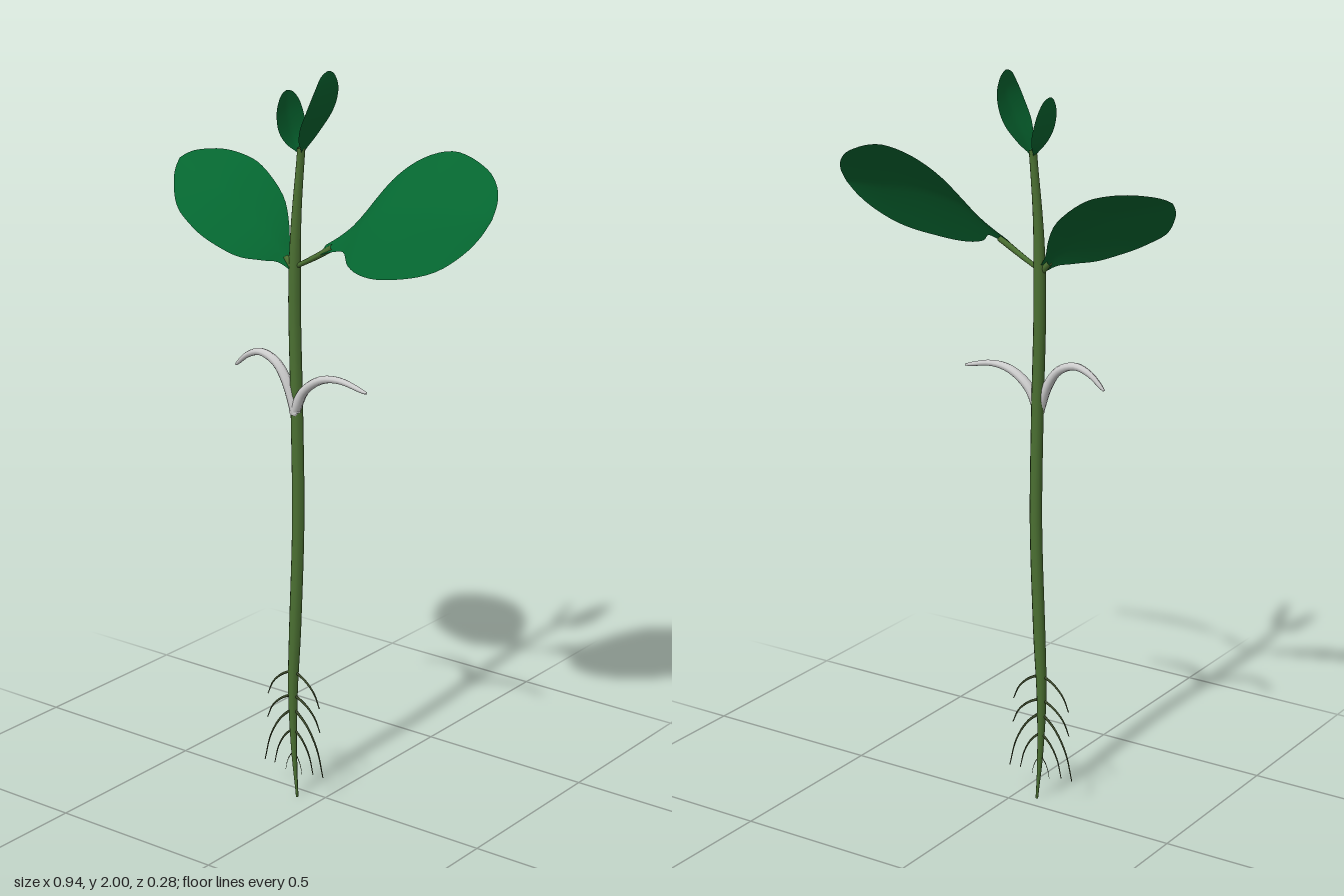
import * as THREE from 'three';

const mat = (color) => new THREE.MeshStandardMaterial({ color, side: THREE.DoubleSide });
const vec = (p) => new THREE.Vector3(...p);
const path = (points) => new THREE.CatmullRomCurve3(points.map(vec));

// Indexed grid surface: at(u, v) gives the position for u, v in 0..1
function gridSurface(nu, nv, at) {
  const pos = [], idx = [];
  for (let i = 0; i <= nu; i++) {
    for (let j = 0; j <= nv; j++) pos.push(...at(i / nu, j / nv).toArray());
  }
  for (let i = 0; i < nu; i++) {
    for (let j = 0; j < nv; j++) {
      const a = i * (nv + 1) + j, b = a + nv + 1;
      idx.push(a, a + 1, b, b, a + 1, b + 1);
    }
  }
  const g = new THREE.BufferGeometry();
  g.setAttribute('position', new THREE.Float32BufferAttribute(pos, 3));
  g.setIndex(idx);
  g.computeVertexNormals();
  return g;
}

// Tapered rod along a curve in the x-y plane; depth scales the section in z
function taperedRod(points, radius, steps, sides, depth = 1) {
  const curve = path(points);
  return gridSurface(steps, sides, (u, v) => {
    const t = curve.getTangent(u);
    const side = new THREE.Vector3(t.y, -t.x, 0).normalize();
    const a = -v * Math.PI * 2, r = radius(u);
    return curve.getPoint(u)
      .addScaledVector(side, Math.cos(a) * r)
      .add(new THREE.Vector3(0, 0, Math.sin(a) * r * depth));
  });
}

// Leaf blade: half-width outline swept on the midrib, halves cupped upward
function leafBlade(midrib, half, outline, cup) {
  const curve = path(midrib), side = vec(half);
  const profile = new THREE.SplineCurve(outline.map(([u, w]) => new THREE.Vector2(u, w)));
  return gridSurface(36, 12, (s, v) => {
    const { x, y } = profile.getPoint(s);
    const u = THREE.MathUtils.clamp(x, 0, 1), w = Math.max(y, 0), k = v * 2 - 1;
    const normal = side.clone().cross(curve.getTangentAt(u)).normalize();
    const lift = cup * w * (Math.pow(Math.abs(k), 1.3) - 0.5);
    return curve.getPointAt(u).addScaledVector(side, w * k).addScaledVector(normal, lift);
  });
}

export function createModel() {
  const group = new THREE.Group();
  const green = mat(0x4b7032), leafGreen = mat(0x056630), rootGreen = mat(0x3c4a2a), grey = mat(0xcccccc);
  const add = (name, geometry, material) => {
    const m = new THREE.Mesh(geometry, material);
    m.name = name;
    group.add(m);
  };
  const Z = 0.037;

  // Main stem, pointed at the root end
  const stemRadius = (u) =>
    0.003 + 0.013 * THREE.MathUtils.smoothstep(u, -0.05, 0.4) - 0.006 * THREE.MathUtils.smoothstep(u, 0.75, 1);
  add('stem', taperedRod([
    [-0.065, 0, 0.042], [-0.075, 0.12, 0.041], [-0.08, 0.3, 0.04], [-0.072, 0.5, 0.039], [-0.062, 0.8, Z],
    [-0.065, 1.1, Z], [-0.072, 1.4, 0.036], [-0.068, 1.6, 0.034], [-0.053, 1.8, 0.03],
  ], stemRadius, 40, 12, 1.1), green);

  // Leaf stalks
  add('leftStalk', taperedRod([[-0.07, 1.49, Z], [-0.01, 1.522, Z], [0.05, 1.558, 0.034]], (u) => 0.006 + 0.003 * u, 8, 8), green);
  add('rightStalk', taperedRod([[-0.07, 1.48, Z], [-0.085, 1.497, Z], [-0.1, 1.512, Z]], (u) => 0.012 - 0.004 * u, 8, 8), green);

  // Large leaves: narrow neck opening into a rounded blade
  const round = [[0, 0.08], [0.09, 0.13], [0.19, 0.27], [0.3, 0.66], [0.42, 0.9], [0.56, 1], [0.7, 0.95], [0.84, 0.78], [0.93, 0.54], [0.98, 0.28], [1, 0]];
  add('leftLeaf', leafBlade(
    [[0.02, 1.548, 0.036], [0.08, 1.582, 0.027], [0.15, 1.637, 0.003], [0.27, 1.668, -0.018], [0.39, 1.668, -0.035], [0.471, 1.672, -0.055]],
    [0.012, 0.143, -0.12], round, 0.02), leafGreen);
  const elongated = [[0, 0.1], [0.09, 0.22], [0.18, 0.5], [0.32, 0.83], [0.54, 1], [0.7, 0.94], [0.82, 0.78], [0.93, 0.46], [0.98, 0.22], [1, 0]];
  add('rightLeaf', leafBlade(
    [[-0.075, 1.49, Z], [-0.15, 1.56, Z], [-0.29, 1.645, 0.033], [-0.4, 1.688, 0.026], [-0.472, 1.718, 0.012]],
    [0.015, 0.078, -0.103], elongated, -0.02), leafGreen);

  // Young leaves at the tip
  const oval = [[0, 0.06], [0.08, 0.2], [0.2, 0.58], [0.38, 0.92], [0.55, 1], [0.75, 0.88], [0.9, 0.6], [0.97, 0.33], [1, 0]];
  add('leftTipLeaf', leafBlade(
    [[-0.053, 1.78, 0.03], [-0.032, 1.83, 0.024], [0, 1.9, 0.016], [0.016, 1.955, 0.014], [0.017, 2, 0.012]],
    [0.017, 0, 0.085], oval, 0.006), leafGreen);
  add('rightTipLeaf', leafBlade(
    [[-0.055, 1.78, 0.03], [-0.08, 1.82, 0.026], [-0.098, 1.88, 0.023], [-0.106, 1.94, 0.022]],
    [-0.009, 0, -0.067], oval, 0.006), leafGreen);

  // Pair of arching bracts halfway up
  const bractRadius = (u) => 0.003 + 0.011 * Math.pow(1 - u, 0.5);
  add('leftBract', taperedRod(
    [[-0.068, 1.1, 0.044], [-0.035, 1.165, 0.046], [0.02, 1.205, 0.047], [0.08, 1.215, 0.047], [0.167, 1.197, 0.047]],
    bractRadius, 20, 10, 1.2), grey);
  add('rightBract', taperedRod(
    [[-0.062, 1.1, 0.044], [-0.09, 1.18, 0.046], [-0.125, 1.228, 0.046], [-0.175, 1.247, 0.045], [-0.22, 1.233, 0.044], [-0.263, 1.197, 0.043]],
    bractRadius, 20, 10, 1.2), grey);

  // Rootlets in mirrored pairs: start height, reach, end height, thickness
  const rootlets = [
    [0.37, 0.088, 0.28, 0.004], [0.3, 0.09, 0.21, 0.004], [0.26, 0.1, 0.08, 0.004],
    [0.2, 0.066, 0.08, 0.0035], [0.13, 0.028, 0.07, 0.0015],
  ];
  for (const [top, reach, end, r] of rootlets) {
    for (const s of [1, -1]) {
      const x = -0.078, drop = top - end;
      add('rootlet', taperedRod([
        [x, top, 0.04], [x + s * reach * 0.45, top - drop * 0.23, 0.04],
        [x + s * reach * 0.8, top - drop * 0.57, 0.04], [x + s * reach, end, 0.04],
      ], (u) => r * (1 - 0.65 * u), 14, 6), rootGreen);
    }
  }
  return group;
}
